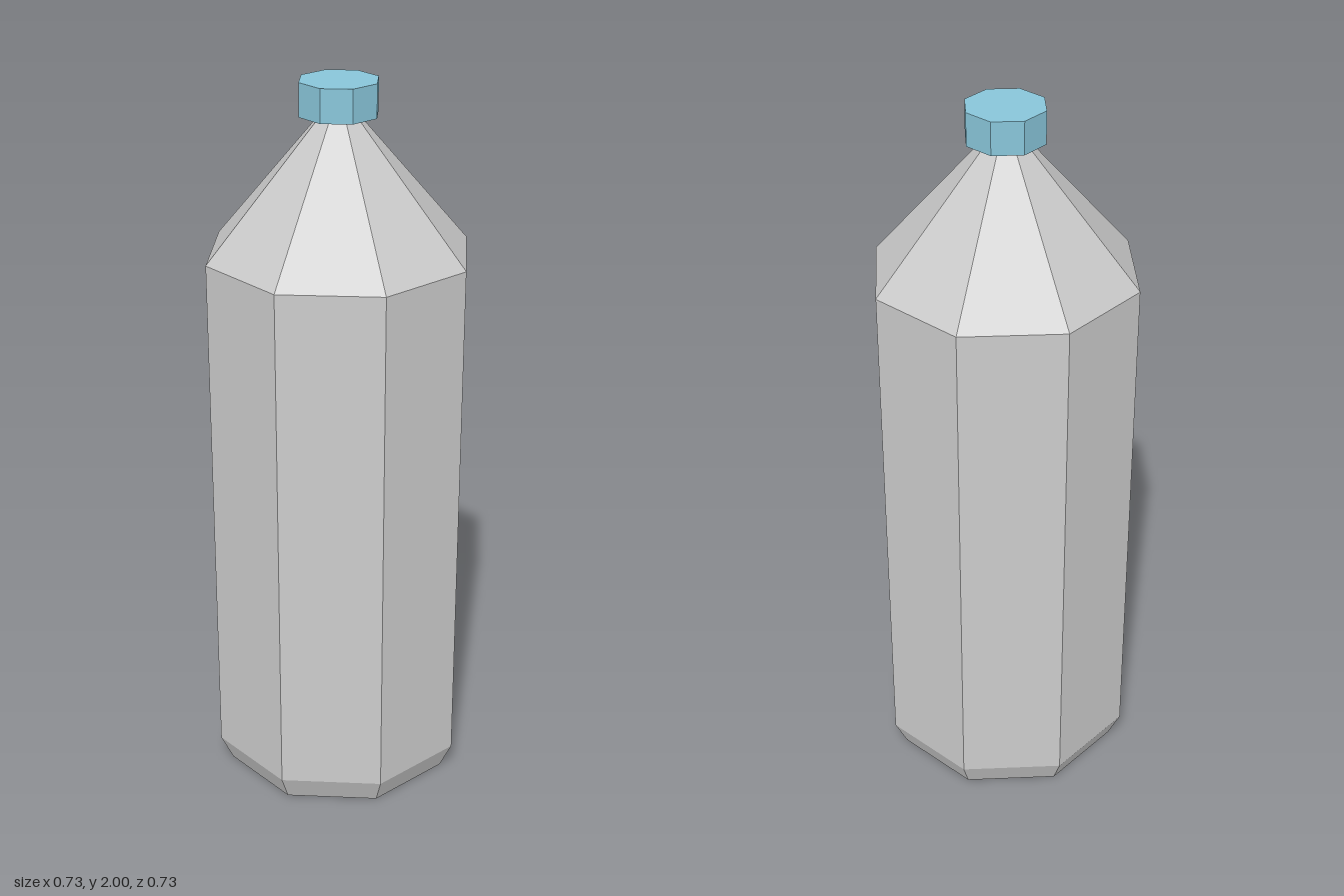
import * as THREE from 'three';

const SIDES = 8;

// Faceted solid of revolution from [radius, height] pairs, bottom to top
function turned(name, profile, color) {
  const points = profile.map(([r, y]) => new THREE.Vector2(r, y));
  const material = new THREE.MeshStandardMaterial({ color, flatShading: true });
  const mesh = new THREE.Mesh(new THREE.LatheGeometry(points, SIDES), material);
  mesh.name = name;
  return mesh;
}

export function createModel() {
  const bottle = new THREE.Group();
  bottle.name = 'bottle';

  // Body: flat base, bevelled foot, straight wall, tapering shoulder
  bottle.add(turned('body', [
    [0, 0], [0.33, 0], [0.365, 0.075], [0.365, 1.54], [0.05, 1.91], [0, 1.91],
  ], 0xcccccc));

  // Screw cap
  bottle.add(turned('cap', [
    [0, 1.91], [0.108, 1.91], [0.108, 2], [0, 2],
  ], 0x88c5d9));

  return bottle;
}
